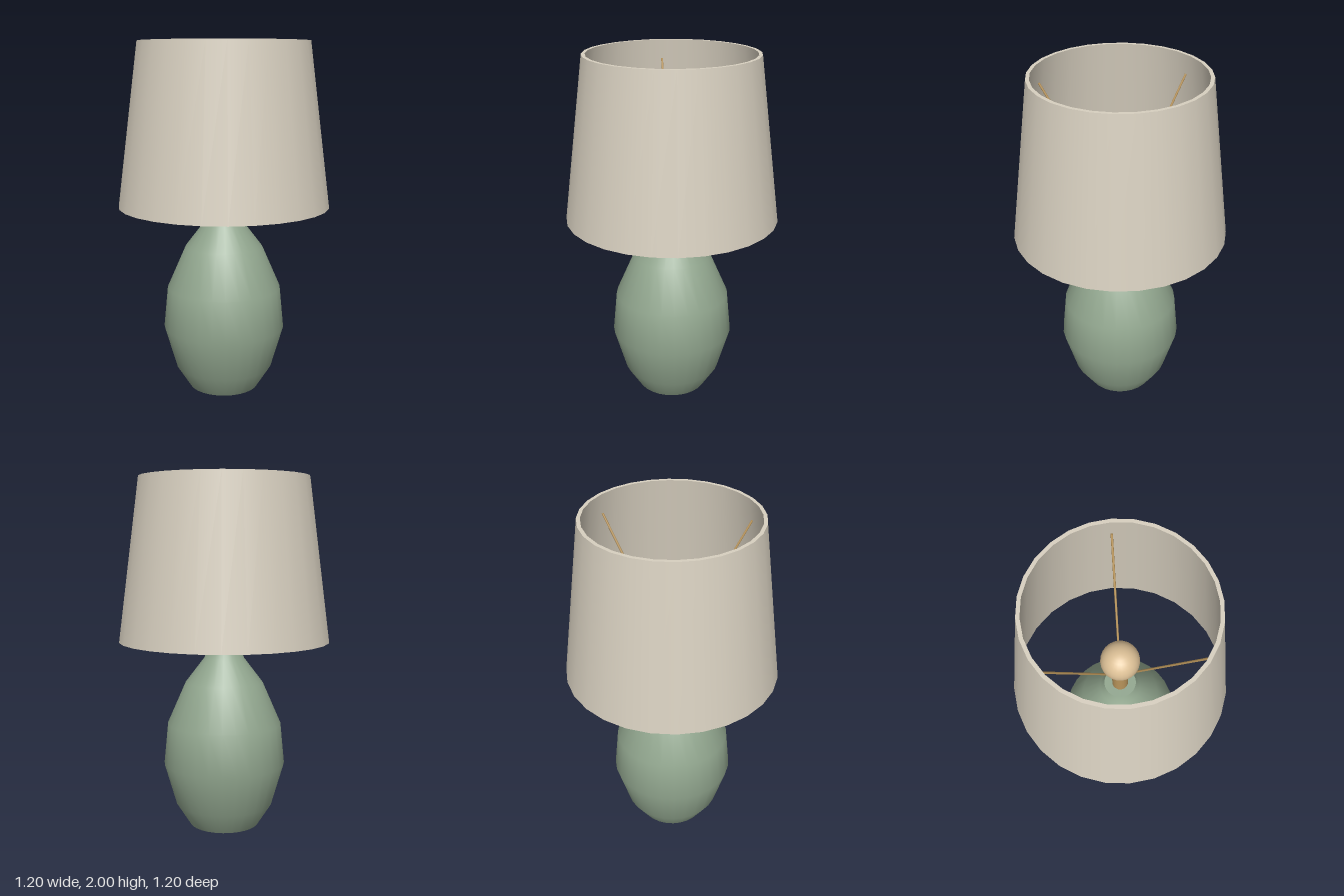
import * as THREE from 'three';

const SEGMENTS = 28;

function material(name, color, side = THREE.FrontSide) {
  const m = new THREE.MeshStandardMaterial({ color, side });
  m.name = name;
  return m;
}

export function createModel() {
  const lamp = new THREE.Group();
  lamp.name = 'tableLamp';

  const ceramic = material('sage ceramic', 0x93a890);
  const brass = material('brass', 0xb8945a);
  const glass = material('warm bulb', 0xdcc096);
  const fabric = material('cream fabric', 0xd8d0c0, THREE.DoubleSide);

  function add(name, geometry, mat, y = 0, parent = lamp) {
    const mesh = new THREE.Mesh(geometry, mat);
    mesh.name = name;
    mesh.position.y = y;
    parent.add(mesh);
    return mesh;
  }

  // Ceramic body with flat end caps
  const profile = [
    [0.2, 0], [0.28, 0.125], [0.35, 0.365], [0.327, 0.6],
    [0.222, 0.84], [0.115, 0.98], [0.09, 1.04],
  ].map(([r, y]) => new THREE.Vector2(r, y));
  add('body', new THREE.LatheGeometry(profile, SEGMENTS), ceramic);
  add('bodyTop', new THREE.CircleGeometry(0.09, SEGMENTS).rotateX(-Math.PI / 2), ceramic, 1.04);
  add('bodyBottom', new THREE.CircleGeometry(0.2, SEGMENTS).rotateX(Math.PI / 2), ceramic);

  // Brass stem and bulb
  add('stem', new THREE.CylinderGeometry(0.045, 0.045, 0.24, 20), brass, 1.15);
  add('bulb', new THREE.SphereGeometry(0.107, 24, 16), glass, 1.37);

  // Hollow shade: outer and inner walls joined by flat rims
  const shade = new THREE.Group();
  shade.name = 'shade';
  lamp.add(shade);
  const wall = (top, bottom) =>
    new THREE.CylinderGeometry(top, bottom, 0.92, SEGMENTS, 1, true);
  // Ring vertices start on +x and wall vertices on +z; both match at 28 sides
  const rim = (r, tilt) => new THREE.RingGeometry(r - 0.02, r, SEGMENTS).rotateX(tilt);
  add('shadeOuter', wall(0.48, 0.6), fabric, 1.54, shade);
  add('shadeInner', wall(0.46, 0.58), fabric, 1.54, shade);
  add('shadeTopRim', rim(0.48, -Math.PI / 2), fabric, 2, shade);
  add('shadeBottomRim', rim(0.6, Math.PI / 2), fabric, 1.08, shade);

  // Three struts rising from the stem to the shade
  const up = new THREE.Vector3(0, 1, 0);
  for (let i = 0; i < 3; i++) {
    const a = (i * Math.PI * 2) / 3;
    const start = new THREE.Vector3(0, 1.16, 0);
    const end = new THREE.Vector3(0.462 * Math.cos(a), 1.89, 0.462 * Math.sin(a));
    const span = end.clone().sub(start);
    const strut = add('strut', new THREE.CylinderGeometry(0.006, 0.006, span.length(), 8), brass);
    strut.position.copy(start).add(end).multiplyScalar(0.5);
    strut.quaternion.setFromUnitVectors(up, span.normalize());
  }

  return lamp;
}
